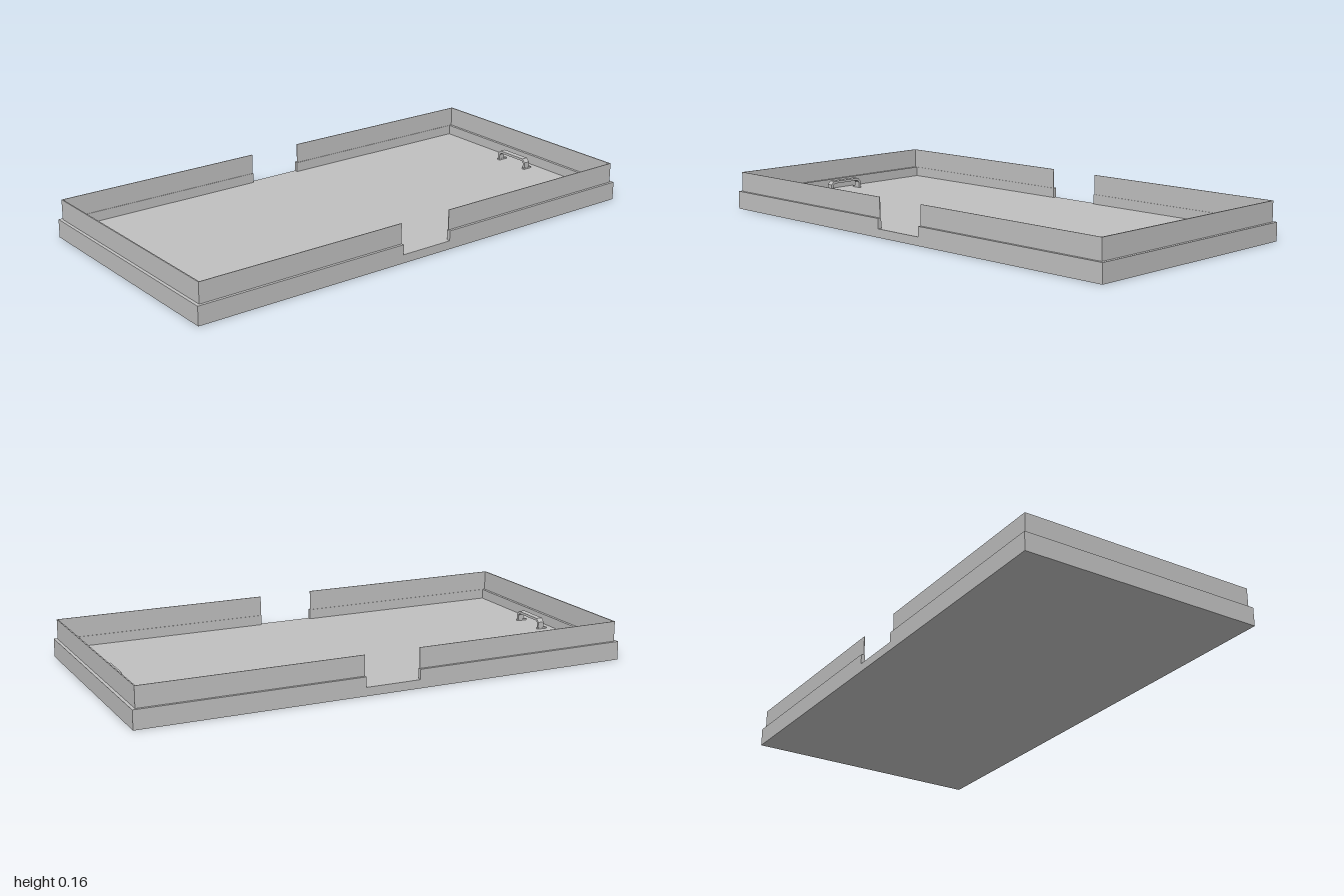
import * as THREE from 'three';

const FLOOR = 0.034, LEDGE = 0.074, TOP = 0.155, GAP = 0.112;

export function createModel() {
  const model = new THREE.Group();
  model.name = 'tray';
  const grey = new THREE.MeshStandardMaterial({ color: 0xc0c0c0 });
  grey.name = 'plain grey';

  // box given by its min and max corners
  function box(name, x0, x1, y0, y1, z0, z1) {
    const mesh = new THREE.Mesh(new THREE.BoxGeometry(x1 - x0, y1 - y0, z1 - z0), grey);
    mesh.position.set((x0 + x1) / 2, (y0 + y1) / 2, (z0 + z1) / 2);
    mesh.name = name;
    model.add(mesh);
  }

  // C-shaped half rim, open towards the middle notch; side is +1 or -1
  function halfRim(name, side, outX, outZ, inX, inZ, gap, y0, y1) {
    const shape = new THREE.Shape([
      [gap, -outZ], [outX, -outZ], [outX, outZ], [gap, outZ],
      [gap, inZ], [inX, inZ], [inX, -inZ], [gap, -inZ],
    ].map(([x, z]) => new THREE.Vector2(side * x, z)));
    const geo = new THREE.ExtrudeGeometry(shape, { depth: y1 - y0, bevelEnabled: false });
    geo.rotateX(-Math.PI / 2);
    const mesh = new THREE.Mesh(geo, grey);
    mesh.position.y = y0;
    mesh.name = name;
    model.add(mesh);
  }

  // bridge-shaped grip standing on the floor, running along z
  const h = LEDGE + 0.003 - FLOOR;
  const grip = new THREE.Shape([
    [-0.082, 0], [-0.082, h - 0.014], [-0.068, h], [0.068, h], [0.082, h - 0.014], [0.082, 0],
    [0.072, 0], [0.072, h - 0.018], [0.064, h - 0.01], [-0.064, h - 0.01], [-0.072, h - 0.018], [-0.072, 0],
  ].map(([z, y]) => new THREE.Vector2(z, y)));
  const gripGeo = new THREE.ExtrudeGeometry(grip, { depth: 0.026, bevelEnabled: false });
  gripGeo.translate(0, 0, -0.013).rotateY(Math.PI / 2);

  // floor slab
  box('floor', -1, 1, 0, FLOOR, -0.5, 0.5);

  for (const side of [-1, 1]) {
    const label = side > 0 ? 'left' : 'right';
    // thick lower rim and thin raised wall set in from its outer edge
    halfRim(label + 'LowerRim', side, 1, 0.5, 0.97, 0.484, GAP, FLOOR, LEDGE);
    halfRim(label + 'UpperWall', side, 0.987, 0.489, 0.982, 0.486, GAP + 0.002, LEDGE, TOP);

    // handle with a small foot under each leg
    const handle = new THREE.Mesh(gripGeo, grey);
    handle.position.set(side * 0.913, FLOOR, 0);
    handle.name = label + 'Handle';
    model.add(handle);
    for (const end of [-1, 1]) {
      box(label + 'HandleFoot', side * 0.919 - 0.021, side * 0.919 + 0.021, FLOOR, FLOOR + 0.006,
        end * 0.077 - 0.006, end * 0.077 + 0.006);
    }
  }
  return model;
}
